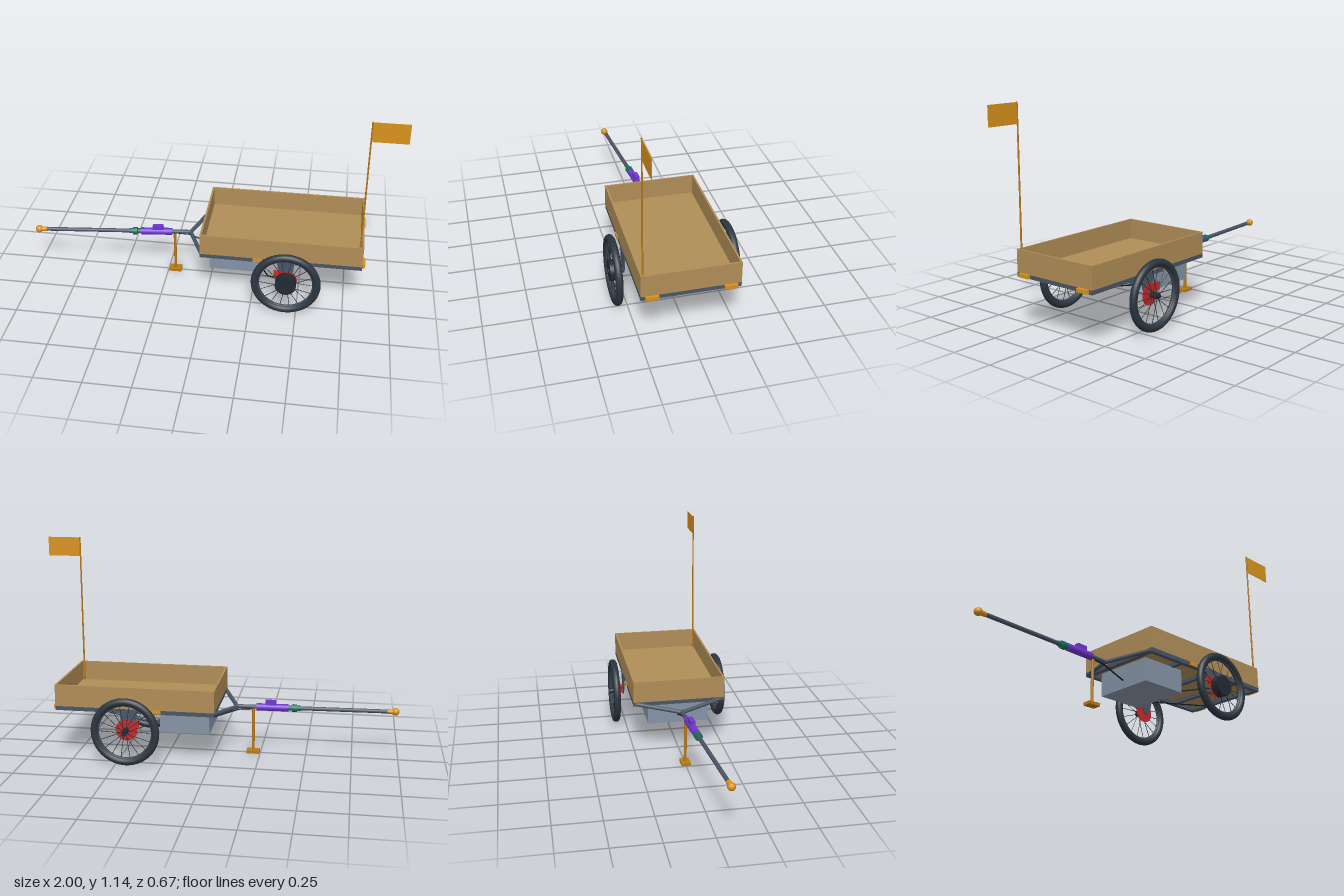
import * as THREE from 'three';

const mat = (color) => new THREE.MeshStandardMaterial({ color });
const M = {
  wood: mat(0xb08d57), frame: mat(0x4a5565), tire: mat(0x2c353f), rim: mat(0x3a434e),
  box: mat(0x8593a5), red: mat(0xc62828), amber: mat(0xd8921c), stand: mat(0xb87a18),
  purple: mat(0x6f35d0), teal: mat(0x1f6b60), black: mat(0x15181c), dark: mat(0x222a33),
};
const V = (x, y, z) => new THREE.Vector3(x, y, z);

function add(parent, name, geo, material, x = 0, y = 0, z = 0) {
  const m = new THREE.Mesh(geo, material);
  m.name = name;
  m.position.set(x, y, z);
  parent.add(m);
  return m;
}

// box given by its min and max corners
function block(parent, name, material, [x0, y0, z0], [x1, y1, z1]) {
  return add(parent, name, new THREE.BoxGeometry(x1 - x0, y1 - y0, z1 - z0), material,
    (x0 + x1) / 2, (y0 + y1) / 2, (z0 + z1) / 2);
}

// round bar between two points
function rod(parent, name, material, a, b, r0, r1 = r0, sides = 16) {
  const d = b.clone().sub(a);
  const m = add(parent, name, new THREE.CylinderGeometry(r1, r0, d.length(), sides), material);
  m.position.copy(a).addScaledVector(d, 0.5);
  m.quaternion.setFromUnitVectors(V(0, 1, 0), d.normalize());
  return m;
}

function cable(parent, name, points, r = 0.004) {
  const path = new THREE.CurvePath();
  for (let i = 1; i < points.length; i++) path.add(new THREE.LineCurve3(points[i - 1], points[i]));
  add(parent, name, new THREE.TubeGeometry(path, 48, r, 8), M.black);
}

const AXLE = { x: 0.44, y: 0.19, z: 0.308 };

function wheel(side) {
  const g = new THREE.Group();
  g.name = side > 0 ? 'leftWheel' : 'rightWheel';
  g.position.set(AXLE.x, AXLE.y, AXLE.z * side);
  add(g, 'tire', new THREE.TorusGeometry(0.166, 0.02, 16, 64), M.tire);
  add(g, 'rim', new THREE.TorusGeometry(0.15, 0.009, 10, 64), M.rim);
  // the driven wheel carries a wide hub motor
  const hubR = side > 0 ? 0.056 : 0.016;
  rod(g, 'hub', M.dark, V(0, 0, -0.023), V(0, 0, 0.023), hubR, hubR, 32);
  const count = 18;
  for (let i = 0; i < count; i++) {
    const a = (i / count) * Math.PI * 2, c = Math.cos(a), s = Math.sin(a);
    const z = i % 2 ? 0.014 : -0.014;
    rod(g, 'spoke', M.dark, V(c * hubR * 0.9, s * hubR * 0.9, z), V(c * 0.148, s * 0.148, 0), 0.0016, 0.0016, 6);
  }
  rod(g, 'axle', M.frame, V(0, 0, -0.055 * side), V(0, 0, 0.027 * side), 0.007);
  rod(g, 'axleNut', M.dark, V(0, 0, 0.022 * side), V(0, 0, 0.029 * side), 0.011, 0.011, 6);
  rod(g, 'brakeDisc', M.red, V(0, 0, -0.034 * side), V(0, 0, -0.031 * side), 0.058, 0.058, 40);
  return g;
}

// plate that hangs the axle below the frame
function dropout(parent, side) {
  const s = new THREE.Shape([[0.385, 0.298], [0.48, 0.298], [0.475, 0.23], [0.458, 0.175], [0.44, 0.168],
    [0.422, 0.175], [0.395, 0.23]].map(([x, y]) => new THREE.Vector2(x, y)));
  const geo = new THREE.ExtrudeGeometry(s, { depth: 0.006, bevelEnabled: false });
  add(parent, 'axlePlate', geo, M.frame, 0, 0, 0.2545 * side - 0.003);
}

export function createModel() {
  const model = new THREE.Group();
  const x0 = -0.03, x1 = 0.835, w = 0.253, t = 0.01;

  // open cargo bed
  const bed = new THREE.Group();
  bed.name = 'cargoBed';
  model.add(bed);
  block(bed, 'floor', M.wood, [x0, 0.298, -w], [x1, 0.308, w]);
  for (const s of [-1, 1]) {
    const z = s * (w - t / 2);
    block(bed, 'sideWall', M.wood, [x0, 0.3, z - t / 2], [x1, 0.417, z + t / 2]);
  }
  for (const x of [x0, x1 - t]) block(bed, 'endWall', M.wood, [x, 0.3, -w + t], [x + t, 0.417, w - t]);

  // frame under the bed
  const frame = new THREE.Group();
  frame.name = 'frame';
  model.add(frame);
  for (const s of [-1, 1]) {
    const z = s * (w - 0.0125);
    block(frame, 'sideRail', M.frame, [x0, 0.276, z - 0.0125], [x1, 0.2985, z + 0.0125]);
    rod(frame, 'drawbarStrut', M.frame, V(-0.02, 0.287, s * 0.242), V(-0.12, 0.262, 0), 0.011);
    dropout(frame, s);
  }
  for (const x of [x0, 0.2, 0.43, 0.64, x1 - 0.025])
    block(frame, 'crossMember', M.frame, [x, 0.277, -w + 0.02], [x + 0.025, 0.298, w - 0.02]);

  // wheels and brakes
  for (const s of [-1, 1]) {
    model.add(wheel(s));
    block(model, 'brakeCaliper', M.red, [0.372, 0.202, s * 0.275 - 0.01], [0.4, 0.242, s * 0.275 + 0.01]);
    rod(model, 'caliperArm', M.frame, V(0.386, 0.235, s * 0.27), V(0.41, 0.235, s * 0.254), 0.004);
  }

  // reflectors
  for (const s of [-1, 1]) {
    block(model, 'rearReflector', M.amber, [x1, 0.279, s * 0.198 - 0.034], [x1 + 0.015, 0.299, s * 0.198 + 0.034]);
    block(model, 'sideReflector', M.amber, [0.257, 0.279, s * 0.255 - 0.003], [0.31, 0.299, s * 0.255 + 0.003]);
  }

  // equipment box under the bed
  block(model, 'equipmentBox', M.box, [0.01, 0.15, -0.168], [0.28, 0.279, 0.168]);
  block(model, 'boxConnector', M.teal, [0.28, 0.156, -0.063], [0.292, 0.186, -0.014]);
  cable(model, 'motorCable', [V(0.44, 0.19, 0.275), V(0.4, 0.185, 0.255), V(0.34, 0.17, 0.225), V(0.28, 0.17, 0.118)]);
  cable(model, 'lightCable', [V(0.28, 0.172, -0.108), V(0.31, 0.178, -0.108), V(0.81, 0.275, -0.108)], 0.0035);
  cable(model, 'drawbarCable', [V(-0.2, 0.252, 0.005), V(-0.13, 0.247, 0), V(0.01, 0.195, 0)]);

  // drawbar, angled slightly to the left
  const at = (x, dy = 0) => {
    const k = (-0.12 - x) / 0.86;
    return V(x, 0.264 - 0.014 * k + dy, 0.072 * k);
  };
  const bar = new THREE.Group();
  bar.name = 'drawbar';
  model.add(bar);
  add(bar, 'strutJoint', new THREE.SphereGeometry(0.013, 16, 12), M.frame).position.copy(at(-0.12));
  rod(bar, 'bar', M.frame, at(-0.12), at(-0.96), 0.011);
  rod(bar, 'sensorSleeve', M.purple, at(-0.225), at(-0.4), 0.02, 0.02, 24);
  const pod = add(bar, 'sensorPod', new THREE.BoxGeometry(0.06, 0.026, 0.026), M.purple);
  pod.position.copy(at(-0.303, 0.026));
  pod.rotation.y = 0.084;
  rod(bar, 'jointBody', M.teal, at(-0.4), at(-0.465), 0.014, 0.014, 20);
  rod(bar, 'jointCollar', M.teal, at(-0.42), at(-0.445), 0.021, 0.021, 20);
  rod(bar, 'couplerNeck', M.amber, at(-0.935), at(-0.98), 0.013);
  add(bar, 'couplerEye', new THREE.SphereGeometry(0.021, 24, 16), M.amber).position.copy(at(-0.979));

  // parking stand
  rod(model, 'standPost', M.stand, V(-0.21, 0.01, 0), V(-0.21, 0.255, 0.003), 0.008);
  block(model, 'standFoot', M.stand, [-0.245, 0, -0.025], [-0.175, 0.016, 0.025]);

  // safety flag
  rod(model, 'flagPole', M.stand, V(0.816, 0.3, 0.24), V(0.816, 1.145, 0.24), 0.005, 0.004, 10);
  block(model, 'flag', M.amber, [0.816, 1.037, 0.2385], [1, 1.143, 0.2415]);

  return model;
}
